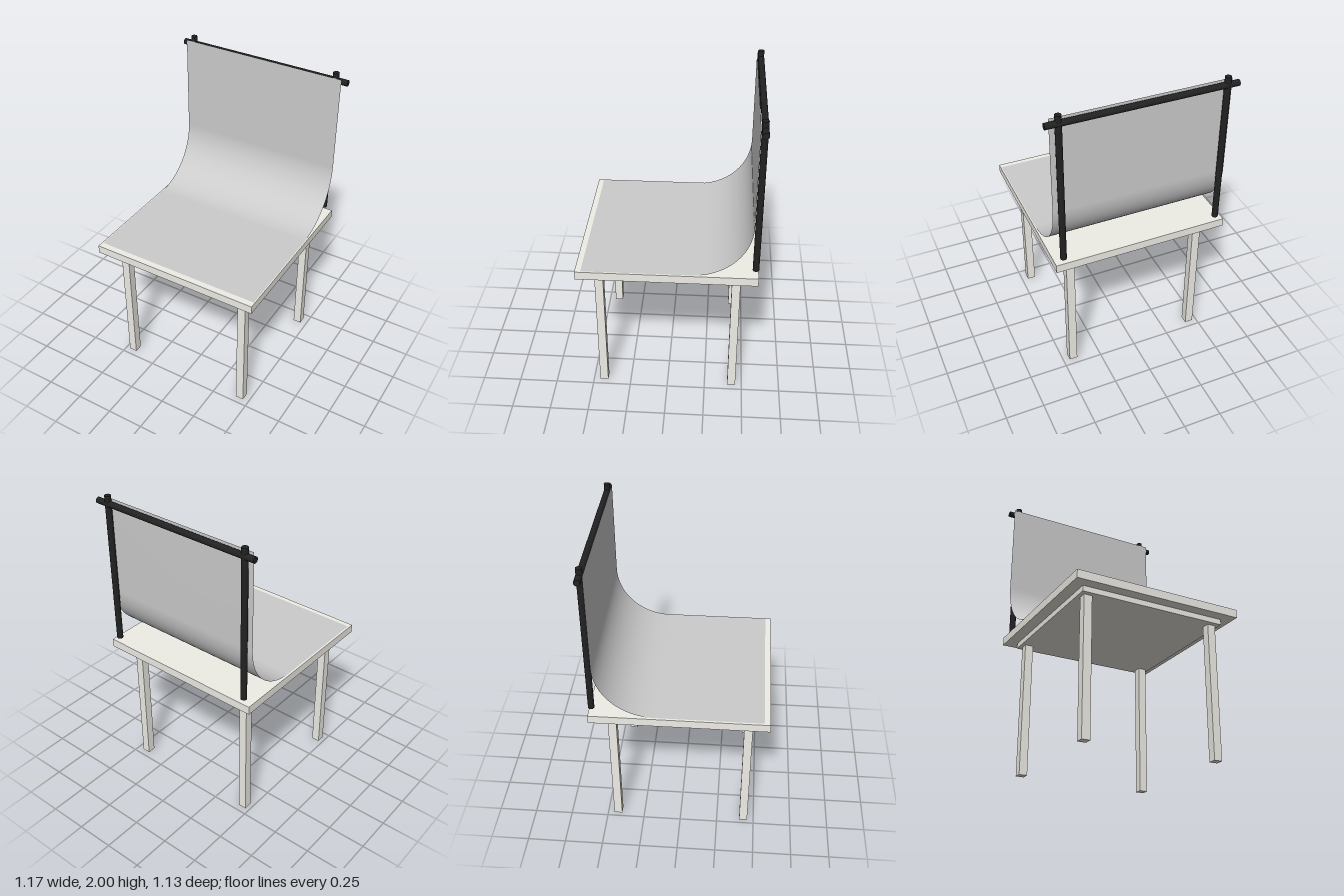
import * as THREE from 'three';

const wood = new THREE.MeshStandardMaterial({ color: 0xefede6 });
const black = new THREE.MeshStandardMaterial({ color: 0x222222 });
const paper = new THREE.MeshStandardMaterial({ color: 0xcccccc, side: THREE.DoubleSide });

const CX = -0.007; // the set sits slightly off centre

export function createModel() {
  const model = new THREE.Group();
  model.name = 'backdropTable';

  const add = (name, geometry, material, x, y, z) => {
    const mesh = new THREE.Mesh(geometry, material);
    mesh.name = name;
    mesh.position.set(x, y, z);
    model.add(mesh);
    return mesh;
  };

  // Table: top, slab under it and four square legs
  add('tableTop', new THREE.BoxGeometry(1.128, 0.055, 1.125), wood, CX, 0.943, 0);
  add('underSlab', new THREE.BoxGeometry(0.98, 0.036, 0.98), wood, CX, 0.8975, 0);
  for (const sx of [-1, 1]) {
    for (const sz of [-1, 1]) {
      add(`${sz > 0 ? 'front' : 'back'}${sx > 0 ? 'Left' : 'Right'}Leg`,
        new THREE.BoxGeometry(0.054, 0.88, 0.054), wood, CX + sx * 0.438, 0.44, sz * 0.431);
    }
  }

  // Stand: two posts and a crossbar
  for (const sx of [-1, 1]) {
    add(sx > 0 ? 'leftPost' : 'rightPost',
      new THREE.CylinderGeometry(0.02, 0.02, 1, 16), black, CX + sx * 0.511, 1.5, -0.544);
  }
  add('crossbar', new THREE.CylinderGeometry(0.02, 0.02, 1.175, 16), black, -0.002, 1.947, -0.546)
    .rotation.z = Math.PI / 2;

  // Backdrop: one sheet, flat on the table, then a quarter bend, then upright
  const front = 0.525, back = -0.52, base = 0.974, top = 1.972, r = 0.365, bendSteps = 24;
  const profile = [[front, base]];
  for (let i = 0; i <= bendSteps; i++) {
    const a = (i / bendSteps) * Math.PI / 2;
    profile.push([back + r - r * Math.sin(a), base + r - r * Math.cos(a)]);
  }
  profile.push([back, top]);
  const sheet = new THREE.PlaneGeometry(1.111, 1, 1, profile.length - 1);
  const pos = sheet.attributes.position;
  for (let i = 0; i < pos.count; i++) {
    const [z, y] = profile[profile.length - 1 - Math.floor(i / 2)];
    pos.setXYZ(i, pos.getX(i), y, z);
  }
  sheet.computeVertexNormals();
  add('backdropSheet', sheet, paper, -0.005, 0, 0);

  return model;
}
